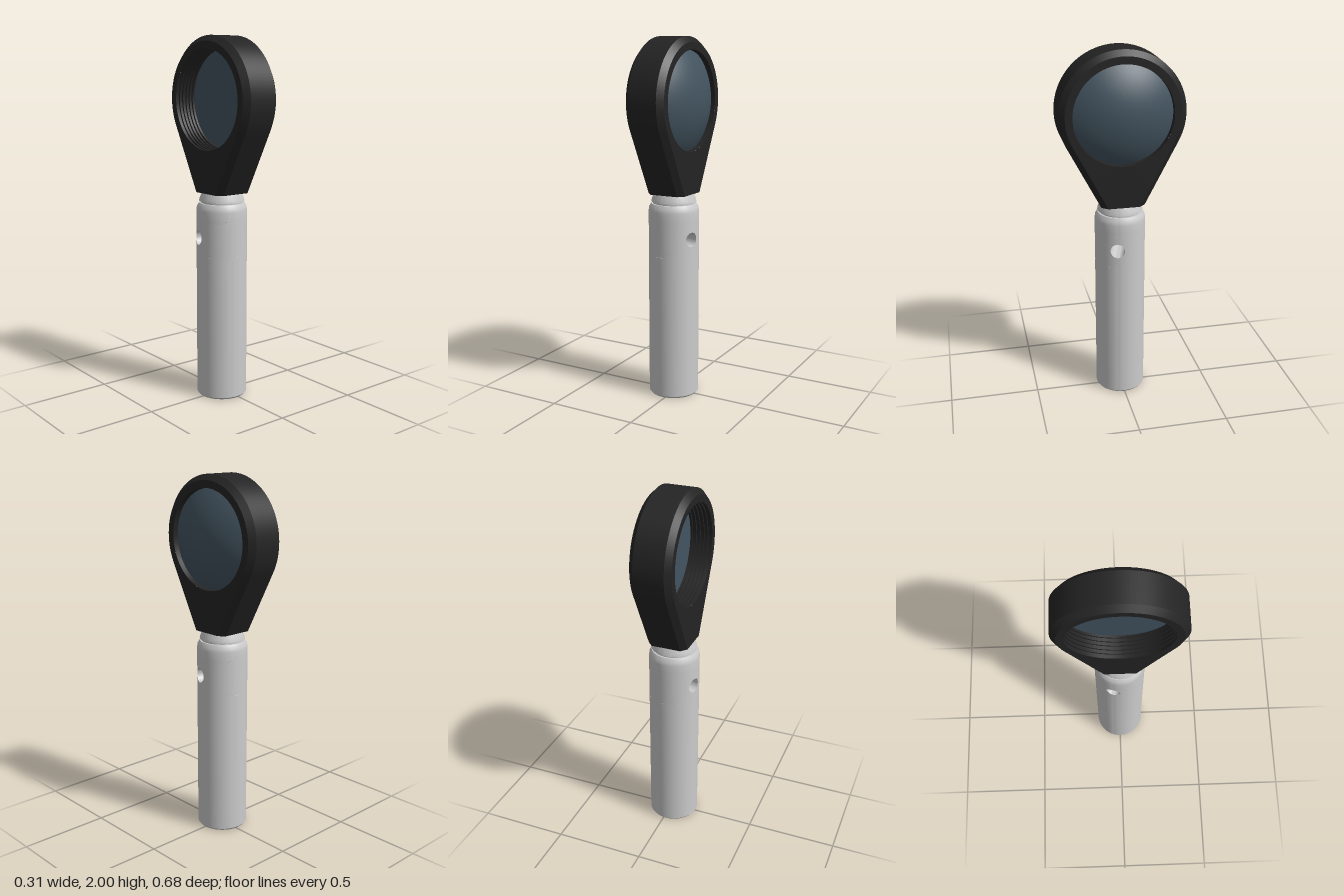
import * as THREE from 'three';
import { toCreasedNormals } from 'three/addons/utils/BufferGeometryUtils.js';

const grey = new THREE.MeshStandardMaterial({ color: 0xcccccc });
const black = new THREE.MeshStandardMaterial({ color: 0x242424 });
const blackInside = new THREE.MeshStandardMaterial({ color: 0x242424, side: THREE.DoubleSide });
const glass = new THREE.MeshStandardMaterial({ color: 0x435460 });

const AXIS_X = -0.015;            // handle axis
const R = 0.14;                   // handle radius
const HEAD_Y = 1.66;              // lens centre height
const OPENING = 0.27;             // lens opening radius

// Skin closed rings of points, one row after another
function loft(rows) {
  const n = rows[0].length, index = [];
  for (let i = 0; i < rows.length - 1; i++) {
    for (let j = 0; j < n; j++) {
      const k = (j + 1) % n;
      const a = i * n + j, b = i * n + k, c = a + n, d = b + n;
      index.push(a, b, d, a, d, c);
    }
  }
  const geo = new THREE.BufferGeometry();
  geo.setAttribute('position', new THREE.Float32BufferAttribute(rows.flat(2), 3));
  geo.setIndex(index);
  return toCreasedNormals(geo, 0.5);
}

function lathe(points, segments = 96) {
  const profile = points.map(([r, y]) => new THREE.Vector2(r, y));
  return toCreasedNormals(new THREE.LatheGeometry(profile, segments), 0.5);
}

function add(parent, name, geometry, material) {
  const mesh = new THREE.Mesh(geometry, material);
  mesh.name = name;
  parent.add(mesh);
  return mesh;
}

// Teardrop outline as [z, y] about the lens centre, flat at the bottom
function teardrop(r) {
  const slope = 0.482, drop = 0.505, pts = [];
  const b = (r - drop * Math.sin(slope)) / Math.cos(slope);
  const tz = r * Math.cos(slope), ty = -r * Math.sin(slope);
  const line = (z0, y0, z1, y1, n) => {
    for (let i = 0; i < n; i++) pts.push([z0 + (z1 - z0) * i / n, y0 + (y1 - y0) * i / n]);
  };
  for (let i = 0; i < 72; i++) {
    const a = -slope + (Math.PI + 2 * slope) * i / 72;
    pts.push([r * Math.cos(a), r * Math.sin(a)]);
  }
  line(-tz, ty, -b, -drop, 12);
  line(-b, -drop, b, -drop, 8);
  line(b, -drop, tz, ty, 12);
  return pts;
}

function makeHead() {
  const head = new THREE.Group();
  head.name = 'head';
  head.position.y = HEAD_Y;

  // Chamfered teardrop housing around the round opening
  const ring = (x, r) => teardrop(r).map(([z, y]) => [x, y, z]);
  const opening = x => teardrop(0.31).map(([z, y]) => {
    const s = OPENING / Math.hypot(z, y);
    return [x, y * s, z * s];
  });
  add(head, 'housing', loft([
    opening(0.10), ring(0.10, 0.31), ring(0.07, 0.34),
    ring(-0.095, 0.34), ring(-0.125, 0.31), opening(-0.125),
  ]), black);

  // Ribbed bore
  const bore = [[OPENING, -0.125], [OPENING, -0.11]];
  for (let i = 0; i < 5; i++) {
    const x = -0.11 + i * 0.022;
    bore.push([OPENING + 0.01, x], [OPENING + 0.01, x + 0.011],
      [OPENING, x + 0.011], [OPENING, x + 0.022]);
  }
  bore.push([OPENING, 0.10]);
  add(head, 'ribbedBore', lathe(bore), blackInside).rotation.z = -Math.PI / 2;

  // Domed lens with a flat back
  const lens = [[0, 0], [0.268, 0]];
  const curve = 0.4675;
  for (let i = 0; i <= 14; i++) {
    const r = 0.268 * (1 - i / 14);
    lens.push([r, 0.155 - curve + Math.sqrt(curve * curve - r * r)]);
  }
  add(head, 'lens', lathe(lens), glass).rotation.z = -Math.PI / 2;
  return head;
}

function makeHandle() {
  const handle = new THREE.Group();
  handle.name = 'handle';
  handle.position.x = AXIS_X;
  handle.rotation.y = -0.29;      // turns the cross hole off the side axis

  const holeY = 0.91, holeR = 0.04, half = 0.1, N = 128, STEPS = 14;
  add(handle, 'grip', lathe([[0, 0], [0.132, 0], [R, 0.01], [R, holeY - half]]), grey);
  add(handle, 'shoulderAndCollar', lathe([
    [R, holeY + half], [R, 1.06], [0.137, 1.08], [0.125, 1.10], [0.115, 1.10],
    [0.115, 1.11], [0.125, 1.11], [0.122, 1.125], [0.11, 1.155], [0, 1.155],
  ]), grey);

  // Band of the grip pierced by the hole: two half-round patches
  const angles = Array.from({ length: N }, (_, j) => 2 * Math.PI * j / N);
  const rows = [];
  for (let i = 0; i <= STEPS; i++) {
    const t = i / STEPS;
    rows.push(angles.map(a => {
      const c = Math.cos(a), s = Math.sin(a), m = Math.max(Math.abs(c), Math.abs(s));
      const turn = (1 - t) * Math.asin(holeR * c / R) + t * (Math.PI / 2) * c / m;
      const y = (1 - t) * holeR * s + t * half * s / m;
      return [R * Math.cos(turn), holeY + y, R * Math.sin(turn)];
    }));
  }
  const patch = loft(rows);
  for (const side of [0, 1]) {
    add(handle, 'piercedBand' + (side + 1), patch, grey).rotation.y = side * Math.PI;
  }

  // Wall of the cross hole
  const rim = sign => angles.map(a => {
    const z = holeR * Math.cos(a);
    return [sign * Math.sqrt(R * R - z * z), holeY + holeR * Math.sin(a), z];
  });
  add(handle, 'crossHole', loft([rim(-1), rim(1)]), grey);
  return handle;
}

export function createModel() {
  const model = new THREE.Group();
  model.name = 'magnifier';
  model.add(makeHandle(), makeHead());
  return model;
}
